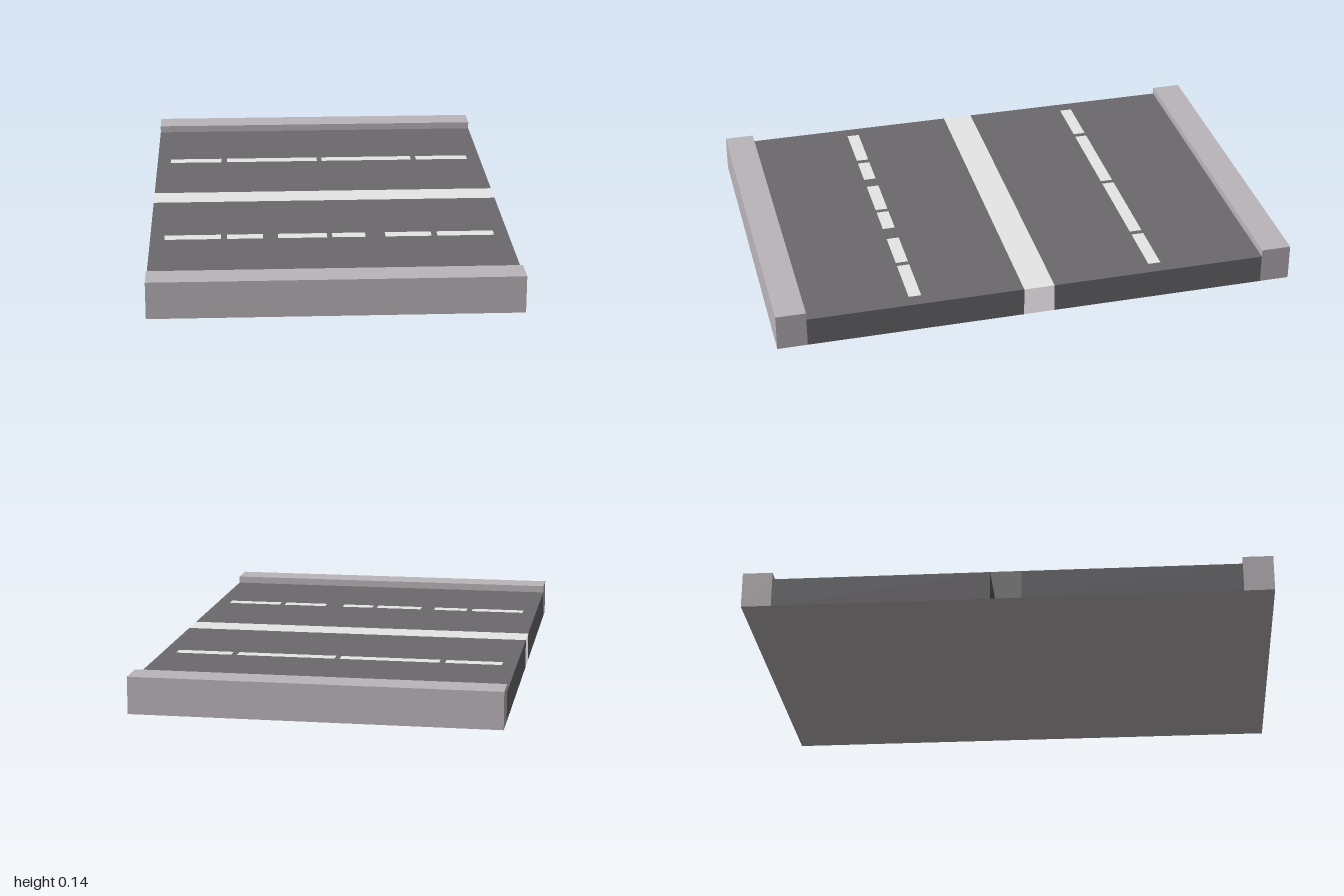
import * as THREE from 'three';

const WIDTH = 1.37; // along x
const ROAD_TOP = 0.112;
const CURB_TOP = 0.14;
const CURB_INNER = 0.886;
const MEDIAN_HALF = 0.059;

const material = (name, color) => {
  const m = new THREE.MeshStandardMaterial({ color, side: THREE.DoubleSide });
  m.name = name;
  return m;
};

export function createModel() {
  const asphalt = material('asphalt', 0x6b696c);
  const concrete = material('concrete', 0xbbb5b9);
  const paint = material('roadPaint', 0xffffff);

  const model = new THREE.Group();
  model.name = 'roadSection';

  const add = (name, geometry, mat) => {
    const mesh = new THREE.Mesh(geometry, mat);
    mesh.name = name;
    model.add(mesh);
    return mesh;
  };

  // Level sheet facing up, given by its limits in x and z
  function sheet(name, mat, [x0, x1], [z0, z1], y) {
    const geometry = new THREE.PlaneGeometry(x1 - x0, z1 - z0).rotateX(-Math.PI / 2);
    add(name, geometry, mat).position.set((x0 + x1) / 2, y, (z0 + z1) / 2);
  }

  const across = [-WIDTH / 2, WIDTH / 2];

  // Floor of the hollow deck, between the curbs
  const floor = new THREE.PlaneGeometry(WIDTH, CURB_INNER * 2).rotateX(Math.PI / 2);
  add('floor', floor, concrete);

  for (const side of [1, -1]) {
    const label = side > 0 ? 'front' : 'back';

    // Carriageway: top sheet and closed ends, open towards the middle
    const limits = [side * MEDIAN_HALF, side * CURB_INNER].sort((a, b) => a - b);
    sheet(`${label}Carriageway`, asphalt, across, limits, ROAD_TOP);
    for (const end of [1, -1]) {
      const wall = new THREE.PlaneGeometry(CURB_INNER - MEDIAN_HALF, ROAD_TOP).rotateY(end * Math.PI / 2);
      add(`${label}CarriagewayEnd`, wall, asphalt).position.set(
        end * WIDTH / 2, ROAD_TOP / 2, side * (CURB_INNER + MEDIAN_HALF) / 2
      );
    }

    // Raised curb
    const curb = new THREE.BoxGeometry(WIDTH, CURB_TOP, 1 - CURB_INNER);
    add(`${label}Curb`, curb, concrete).position.set(0, CURB_TOP / 2, side * (1 + CURB_INNER) / 2);
  }

  // Painted central strip bridging the open channel
  sheet('centralStrip', paint, across, [-MEDIAN_HALF, MEDIAN_HALF], ROAD_TOP);

  // Dashed lane markings: x limits of each dash
  const backDashes = [[-0.63, -0.415], [-0.392, -0.01], [0.01, 0.39], [0.412, 0.63]];
  const frontDashes = [[-0.63, -0.415], [-0.392, -0.255], [-0.197, -0.01], [0.01, 0.137], [0.213, 0.39], [0.412, 0.63]];
  const markings = [['back', backDashes, -0.47], ['front', frontDashes, 0.467]];
  for (const [label, dashes, z] of markings) {
    for (const dash of dashes) {
      sheet(`${label}LaneDash`, paint, dash, [z - 0.024, z + 0.024], ROAD_TOP + 0.001);
    }
  }

  return model;
}
